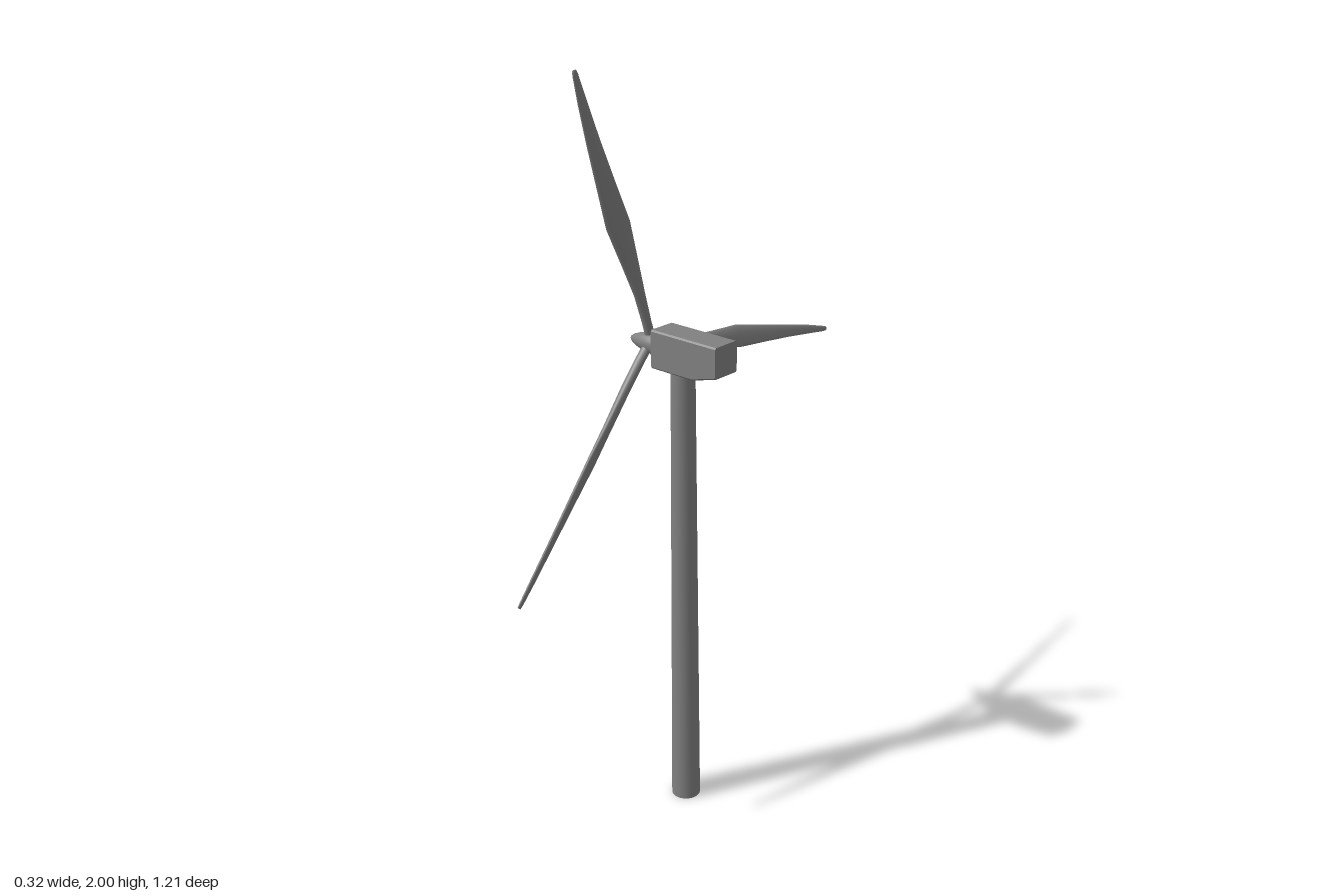
import * as THREE from 'three';
import { ConvexGeometry } from 'three/addons/geometries/ConvexGeometry.js';

const HUB_Y = 1.303, AXIS_Z = 0.118;

// Blade stations: radius, trailing edge, leading edge, half thickness, twist (deg), x offset
const STATIONS = [
  [0.0, -0.008, 0.016, 0.013, 0, -0.002],
  [0.06, -0.006, 0.018, 0.013, 8, -0.003],
  [0.14, -0.007, 0.022, 0.012, 20, -0.003],
  [0.24, -0.018, 0.027, 0.010, 26, -0.001],
  [0.34, -0.030, 0.032, 0.008, 26, 0.001],
  [0.45, -0.025, 0.023, 0.007, 26, 0.002],
  [0.56, -0.020, 0.015, 0.006, 24, 0.003],
  [0.66, -0.014, 0.010, 0.005, 18, 0.004],
  [0.725, -0.008, 0.007, 0.004, 12, 0.005],
  [0.736, -0.006, 0.005, 0.003, 12, 0.005],
];

// Twisted blade lofted through elliptical sections, pointing along +y
function bladeGeometry(sides = 16) {
  const pos = [], index = [];
  STATIONS.forEach(([y, e0, e1, thick, deg, dx], k) => {
    const c = Math.cos(THREE.MathUtils.degToRad(deg));
    const s = Math.sin(THREE.MathUtils.degToRad(deg));
    for (let i = 0; i < sides; i++) {
      const a = (i / sides) * Math.PI * 2;
      const u = (e0 + e1) / 2 + ((e1 - e0) / 2) * Math.cos(a);
      const t = thick * Math.sin(a);
      pos.push(dx + u * s + t * c, y, -u * c + t * s);
      if (k < STATIONS.length - 1) {
        const p = k * sides + i, n = k * sides + ((i + 1) % sides);
        index.push(p, p + sides, n, n, p + sides, n + sides);
      }
    }
  });
  // Close the tip
  const last = (STATIONS.length - 1) * sides;
  for (let i = 1; i < sides - 1; i++) index.push(last, last + i + 1, last + i);
  const g = new THREE.BufferGeometry();
  g.setAttribute('position', new THREE.Float32BufferAttribute(pos, 3));
  g.setIndex(index);
  g.computeVertexNormals();
  return g;
}

// Box-like housing with trimmed edges and a rear underside that slopes up
function nacelleGeometry() {
  const pts = [];
  const section = (x, y0, y1, hw, cut) => {
    for (const z of [-1, 1]) {
      for (const [y, dir] of [[y0, 1], [y1, -1]]) {
        pts.push(new THREE.Vector3(x, y, z * (hw - cut)));
        pts.push(new THREE.Vector3(x, y + dir * cut, z * hw));
      }
    }
  };
  section(-0.061, 1.262, 1.347, 0.033, 0.004);
  section(-0.053, 1.254, 1.355, 0.04, 0.004);
  section(0.08, 1.254, 1.355, 0.04, 0.004);
  section(0.157, 1.275, 1.355, 0.04, 0.004);
  return new ConvexGeometry(pts);
}

export function createModel() {
  const model = new THREE.Group();
  const material = new THREE.MeshStandardMaterial({ color: 0x808080 });
  const add = (parent, geometry, name) => {
    const mesh = new THREE.Mesh(geometry, material);
    mesh.name = name;
    parent.add(mesh);
    return mesh;
  };

  // Tapered tower
  const tower = add(model, new THREE.CylinderGeometry(0.031, 0.039, 1.26, 32), 'tower');
  tower.position.set(0.017, 0.63, AXIS_Z);

  // Machine housing
  add(model, nacelleGeometry(), 'nacelle').position.z = AXIS_Z;

  // Rotor: spinner and three blades
  const rotor = new THREE.Group();
  rotor.name = 'rotor';
  rotor.position.set(-0.09, HUB_Y, AXIS_Z);
  model.add(rotor);

  const profile = [[0, -0.035], [0.026, -0.035], [0.028, -0.02], [0.027, 0.005], [0.023, 0.022],
    [0.018, 0.042], [0.012, 0.057], [0.006, 0.066], [0, 0.069]];
  const spinner = add(rotor, new THREE.LatheGeometry(
    profile.map(([r, h]) => new THREE.Vector2(r, h)), 24), 'spinner');
  spinner.rotation.z = Math.PI / 2;

  const blade = bladeGeometry();
  for (let i = 0; i < 3; i++) {
    const mesh = add(rotor, blade, 'blade' + (i + 1));
    mesh.rotation.x = THREE.MathUtils.degToRad(18.8 + i * 120);
  }
  return model;
}
